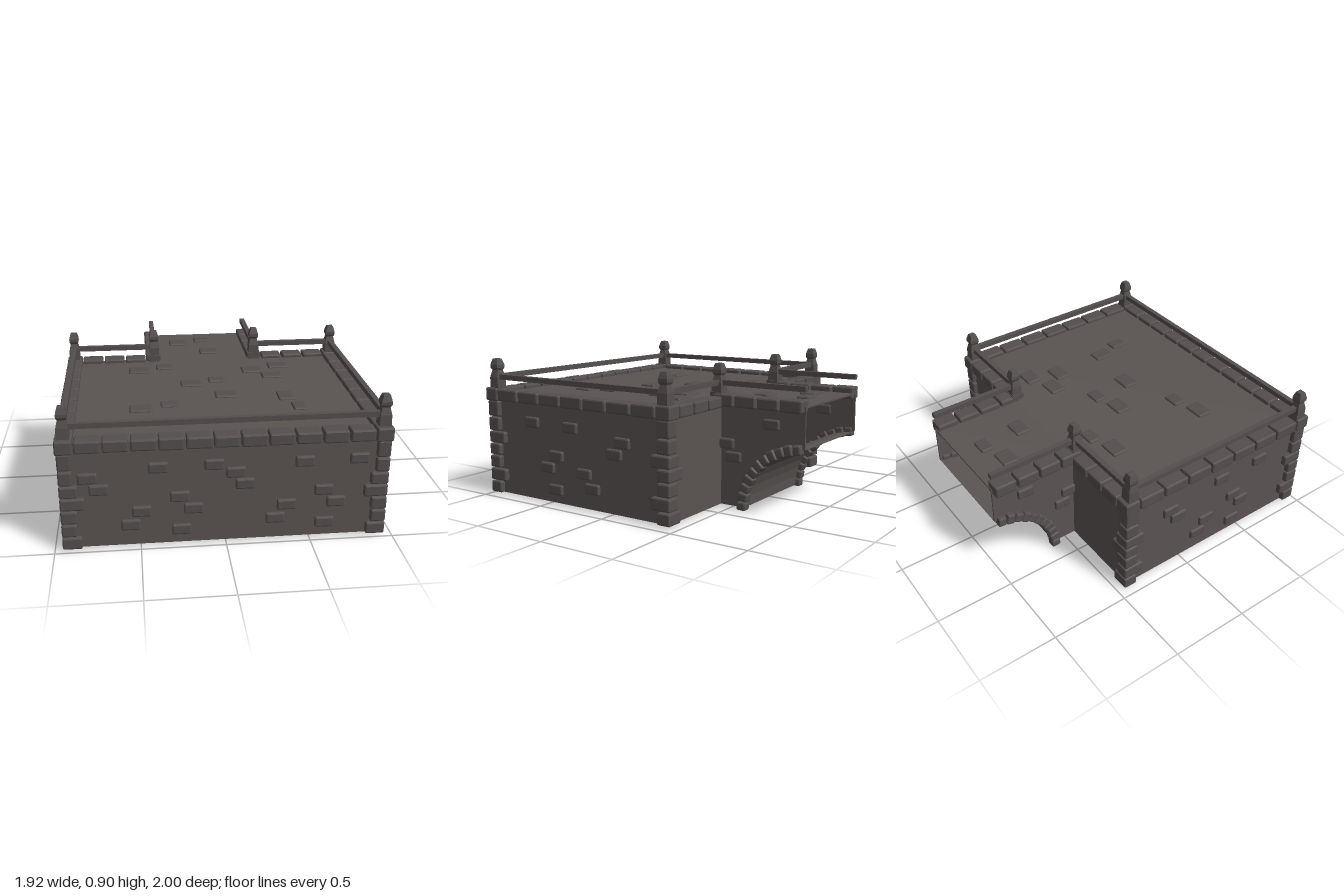
import * as THREE from 'three';
import { RoundedBoxGeometry } from 'three/addons/geometries/RoundedBoxGeometry.js';

const wall = new THREE.MeshStandardMaterial({ color: 0x5a5452, side: THREE.DoubleSide });
const stone = new THREE.MeshStandardMaterial({ color: 0x544f4e });
wall.name = 'wall stone';
stone.name = 'trim stone';

const FLOOR = 0.69, HX = 0.92, ZF = 0.96, ZB = -0.43, BX = 0.36;

export function createModel() {
  const model = new THREE.Group();
  const add = (geo, mat, name, x = 0, y = 0, z = 0) => {
    const m = new THREE.Mesh(geo, mat);
    m.name = name;
    m.position.set(x, y, z);
    model.add(m);
    return m;
  };
  // chamfered block with flat facets
  const block = (name, w, h, d, x, y, z) => {
    const g = new RoundedBoxGeometry(w, h, d, 1, 0.01);
    g.computeVertexNormals();
    return add(g, stone, name, x, y, z);
  };
  const box = (mat, name, w, h, d, x, y, z) => add(new THREE.BoxGeometry(w, h, d), mat, name, x, y, z);

  // main platform
  box(wall, 'platform', HX * 2, FLOOR - 0.03, ZF - ZB, 0, (FLOOR + 0.03) / 2, (ZF + ZB) / 2);

  // bridge: thin deck, side walls with a quarter arch, vault underneath; end is open
  box(wall, 'bridgeDeck', BX * 2, 0.01, 1 + ZB, 0, FLOOR - 0.005, (ZB - 1) / 2);
  const R = 0.41, CY = 0.025;
  const side = new THREE.Shape();
  side.moveTo(-ZB, 0.03);
  side.lineTo(1 - R, 0.03);
  side.absarc(1, CY, R, Math.PI, Math.PI / 2, true);
  side.lineTo(1, FLOOR);
  side.lineTo(-ZB, FLOOR);
  for (const s of [-1, 1]) {
    const g = new THREE.ExtrudeGeometry(side, { depth: 0.01, bevelEnabled: false, curveSegments: 10 });
    g.rotateY(Math.PI / 2);
    add(g, wall, 'bridgeWall', s > 0 ? BX - 0.01 : -BX);
  }
  const vault = new THREE.CylinderGeometry(R, R, BX * 2 - 0.01, 10, 1, true, 0, Math.PI / 2).toNonIndexed();
  vault.rotateZ(Math.PI / 2);
  vault.computeVertexNormals();
  add(vault, wall, 'bridgeVault', 0, CY, -1);
  box(wall, 'bridgeFoot', BX * 2 - 0.02, 0.01, ZB + 1 - R, 0, 0.035, (ZB - 1 + R) / 2);

  // arch stones
  const N = 11;
  for (const s of [-1, 1])
    for (let i = 0; i < N; i++) {
      const a = ((i + 0.3) / N) * Math.PI / 2;
      block('archStone', 0.06, 0.052, 0.06 + (i % 2) * 0.008,
        s * 0.365, CY + R * Math.sin(a), -1 + R * Math.cos(a)).rotation.x = -a;
    }

  // rows of cap stones along the edges
  const row = (alongX, from, to, fixed, n, y) => {
    const step = (to - from) / n;
    for (let i = 0; i < n; i++) {
      const c = from + (i + 0.5) * step, len = Math.abs(step) - 0.012;
      const h = 0.076 - (i % 3) * 0.003;
      if (alongX) block('capStone', len, h, 0.1, c, y, fixed);
      else block('capStone', 0.1, h, len, fixed, y, c);
    }
  };
  row(true, -0.86, 0.86, 0.95, 11, 0.68);
  for (const s of [-1, 1]) {
    row(false, 0.9, -0.37, s * 0.91, 7, 0.68);
    row(true, s * 0.86, s * 0.41, -0.42, 3, 0.68);
    row(false, -0.39, -1, s * BX, 4, 0.69);
    for (const z of [0.95, -0.42]) block('cornerCap', 0.1, 0.085, 0.1, s * 0.91, 0.68, z);
  }

  // corner quoins: bottom, top, length in x, length in z
  const quoins = [
    [0.03, 0.105, 0.115, 0.09], [0.112, 0.19, 0.09, 0.135], [0.196, 0.276, 0.095, 0.09],
    [0.282, 0.356, 0.14, 0.09], [0.362, 0.436, 0.105, 0.135], [0.442, 0.53, 0.08, 0.09],
    [0.536, 0.64, 0.08, 0.09],
  ];
  for (const s of [-1, 1])
    for (const [y0, y1, w, d] of quoins)
      for (const f of [-1, 1])
        block('quoin', w, y1 - y0, d, s * (0.953 - w / 2), (y0 + y1) / 2,
          f > 0 ? 0.99 - d / 2 : -0.46 + d / 2);

  // square posts with a flared cap
  const k = Math.SQRT2;
  const profile = [[0, 0.68], [0.036, 0.68], [0.034, 0.79], [0.023, 0.835], [0.031, 0.85],
    [0.031, 0.87], [0.02, 0.908], [0, 0.912]].map(([r, y]) => new THREE.Vector2(r * k, y));
  const postGeo = new THREE.LatheGeometry(profile, 4).rotateY(Math.PI / 4).toNonIndexed();
  postGeo.computeVertexNormals();
  for (const s of [-1, 1]) {
    for (const [x, z] of [[0.91, 0.935], [0.91, -0.41], [0.355, -0.41]])
      add(postGeo, stone, 'post', s * x, 0, z);
    box(stone, 'postBase', 0.09, 0.03, 0.08, s * 0.355, 0.72, -0.41);
    // rails
    box(stone, 'sideRail', 0.032, 0.032, 1.345, s * 0.91, 0.792, 0.2625);
    box(stone, 'backRail', 0.555, 0.032, 0.032, s * 0.6325, 0.792, -0.41);
    box(stone, 'bridgeRail', 0.032, 0.032, 0.59, s * 0.355, 0.792, -0.705);
  }
  box(stone, 'frontRail', 1.82, 0.032, 0.032, 0, 0.792, 0.935);

  // raised bricks on the front wall
  for (const [x, y] of [[-0.79, 0.475], [-0.73, 0.4], [-0.39, 0.525], [-0.07, 0.53], [0.055, 0.475],
    [0.11, 0.4], [0.455, 0.525], [0.775, 0.53], [-0.27, 0.335], [-0.19, 0.255], [-0.49, 0.25],
    [-0.555, 0.165], [-0.26, 0.12], [0.575, 0.335], [0.65, 0.255], [0.355, 0.25], [0.29, 0.165], [0.585, 0.12]])
    block('frontBrick', 0.112, 0.066, 0.04, x, y, ZF);

  // raised bricks on both sides and on the bridge walls
  for (const s of [-1, 1]) {
    for (const [z, y] of [[0.62, 0.525], [0.3, 0.52], [-0.105, 0.47], [-0.045, 0.395], [0.42, 0.33],
      [0.495, 0.25], [0.195, 0.245], [0.13, 0.16], [0.43, 0.115]])
      block('sideBrick', 0.04, 0.066, 0.112, s * HX, y, z);
    for (const [z, y] of [[-0.78, 0.565], [-0.52, 0.34], [-0.47, 0.42]])
      block('bridgeBrick', 0.04, 0.064, 0.108, s * BX, y, z);
  }

  // paving stones: x, z, width, depth
  for (const [x, z, w, d] of [[-0.16, -0.78, 0.135, 0.105], [0.02, -0.835, 0.115, 0.085],
    [0.05, -0.565, 0.135, 0.1], [-0.465, -0.19, 0.14, 0.105], [-0.29, -0.245, 0.115, 0.085],
    [0.305, -0.135, 0.14, 0.105], [0.495, -0.205, 0.135, 0.1], [0.425, -0.015, 0.14, 0.1],
    [0.045, 0.04, 0.115, 0.085], [-0.13, 0.093, 0.14, 0.105], [0.075, 0.308, 0.14, 0.105],
    [0.445, 0.37, 0.1, 0.135], [0.5, 0.545, 0.085, 0.115], [-0.47, 0.495, 0.14, 0.105], [-0.29, 0.44, 0.115, 0.085]])
    block('pavingStone', w, 0.04, d, x, FLOOR - 0.006, z);

  return model;
}
